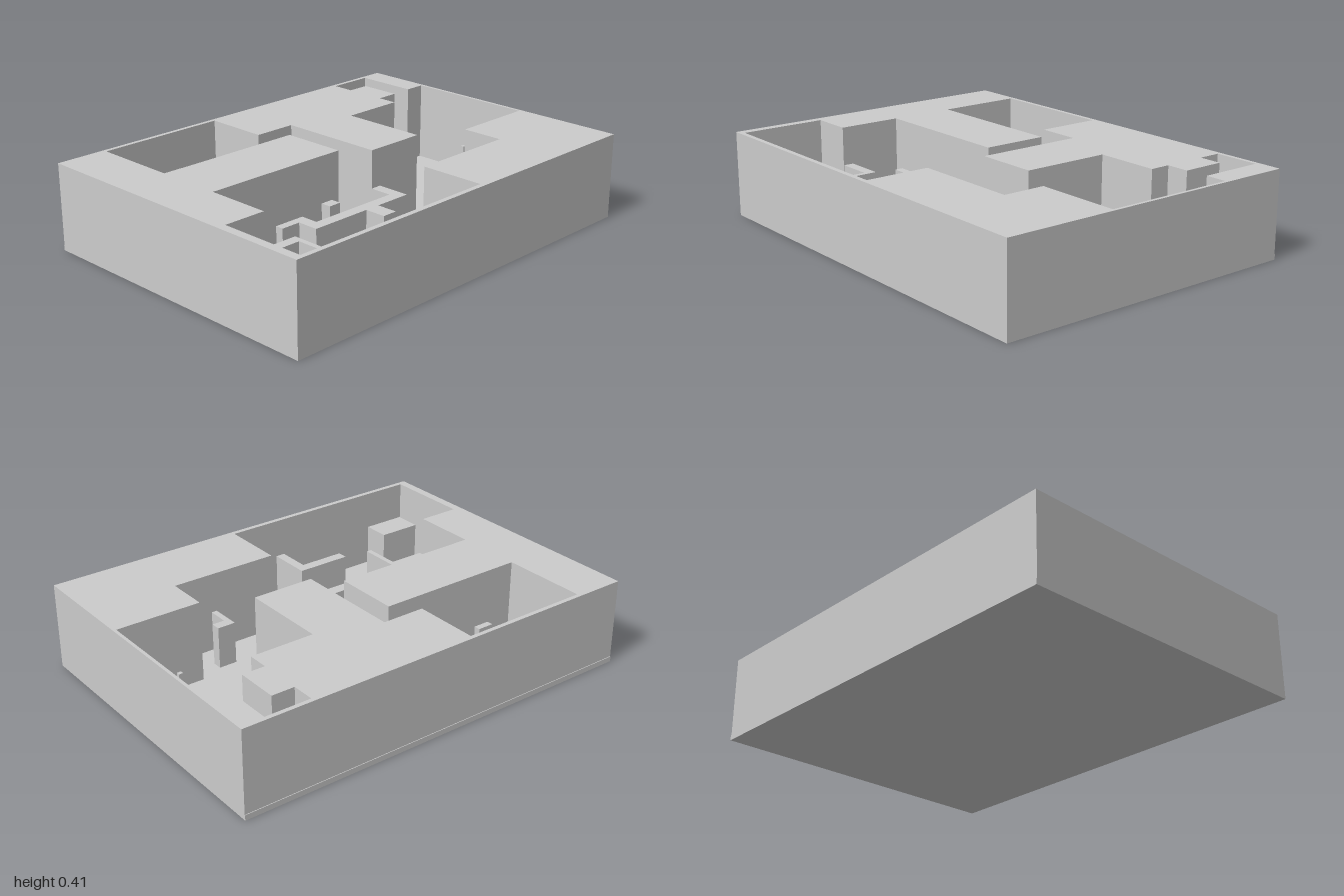
import * as THREE from 'three';

const HEIGHT = 0.405, FLOOR = 0.025, LOW_TOP = 0.225;
const HALF_X = 1, HALF_Z = 0.74, BLOCK_BACK = -0.737;

// Plan points are [x, z], clockwise from above; the sign of z flips so the extrusion can stand upright.
const toVectors = (plan) => plan.map(([x, z]) => new THREE.Vector2(x, -z));
const rect = (x0, z0, x1, z1) => [[x0, z0], [x1, z0], [x1, z1], [x0, z1]];

export function createModel() {
  const group = new THREE.Group();
  const material = new THREE.MeshStandardMaterial({ color: 0xcccccc, flatShading: true });

  // Raise a plan outline from one height to another, with optional cut-outs.
  // Outlines run counter-clockwise and cut-outs clockwise, so every wall faces out of the solid.
  function raise(name, plan, bottom, top, holes = []) {
    const shape = new THREE.Shape(toVectors(plan).reverse());
    for (const hole of holes) shape.holes.push(new THREE.Path(toVectors(hole)));
    const geometry = new THREE.ExtrudeGeometry(shape, { depth: top - bottom, bevelEnabled: false });
    geometry.rotateX(-Math.PI / 2).translate(0, bottom, 0);
    const mesh = new THREE.Mesh(geometry, material);
    mesh.name = name;
    group.add(mesh);
  }

  // Base slab, whose top is the floor of the rooms
  const base = new THREE.Mesh(new THREE.BoxGeometry(2 * HALF_X, FLOOR, 2 * HALF_Z), material);
  base.position.y = FLOOR / 2;
  base.name = 'baseSlab';
  group.add(base);

  // Solid surround with the connected rooms and corridors cut out
  const rooms = [
    [-0.762, -0.717], [-0.14, -0.717], [-0.14, -0.41], [0.065, -0.41],
    [0.065, 0.107], [0.365, 0.107], [0.365, -0.313], [0.67, -0.313],
    [0.67, -0.41], [0.778, -0.41], [0.778, -0.61], [0.67, -0.61],
    [0.67, -0.717], [0.885, -0.717], [0.885, -0.415], [0.985, -0.415],
    [0.985, 0.21], [0.58, 0.21], [0.58, 0.412], [0.065, 0.412],
    [0.065, 0.717], [-0.96, 0.717], [-0.96, 0.307], [-0.762, 0.307],
    [-0.762, 0.002], [-0.04, 0.002], [-0.04, -0.31], [-0.762, -0.31],
  ];
  raise('surroundingBlock', rect(-HALF_X, BLOCK_BACK, HALF_X, HALF_Z), FLOOR, HEIGHT, [rooms]);

  // Low partitions standing on the floor
  const partitions = {
    centrePartition: [
      [0.065, 0.107], [0.118, 0.107], [0.118, 0.268], [-0.065, 0.268],
      [-0.065, 0.37], [-0.14, 0.37], [-0.14, 0.268], [-0.44, 0.268],
      [-0.44, 0.167], [-0.535, 0.167], [-0.535, 0.128], [-0.385, 0.128],
      [-0.385, 0.213], [0.065, 0.213],
    ],
    rightPartition: [
      [-0.75, 0.263], [-0.555, 0.263], [-0.555, 0.482], [-0.58, 0.482],
      [-0.58, 0.312], [-0.75, 0.312],
    ],
    frontPartition: [
      [-0.433, 0.498], [-0.168, 0.498], [-0.168, 0.708], [-0.213, 0.708],
      [-0.213, 0.548], [-0.433, 0.548],
    ],
    leftPartition: [
      [0.38, 0.252], [0.467, 0.252], [0.467, 0.298], [0.407, 0.298],
      [0.407, 0.398], [0.38, 0.398],
    ],
  };
  for (const [name, plan] of Object.entries(partitions)) raise(name, plan, FLOOR, LOW_TOP);

  // Free-standing low blocks
  const blocks = {
    cornerBlock: [-0.953, 0.583, -0.745, 0.712],
    corridorBlock: [-0.22, 0.078, -0.158, 0.128],
    backWallBlock: [-0.46, -0.71, -0.348, -0.663],
    backRoomPillar: [-0.25, -0.605, -0.208, -0.557],
    backRoomPost: [-0.46, -0.56, -0.443, -0.513],
    backRoomBlock: [-0.52, -0.453, -0.443, -0.423],
    leftRoomPost: [0.797, 0.01, 0.817, 0.028],
  };
  for (const [name, bounds] of Object.entries(blocks)) raise(name, rect(...bounds), FLOOR, LOW_TOP);

  return group;
}
